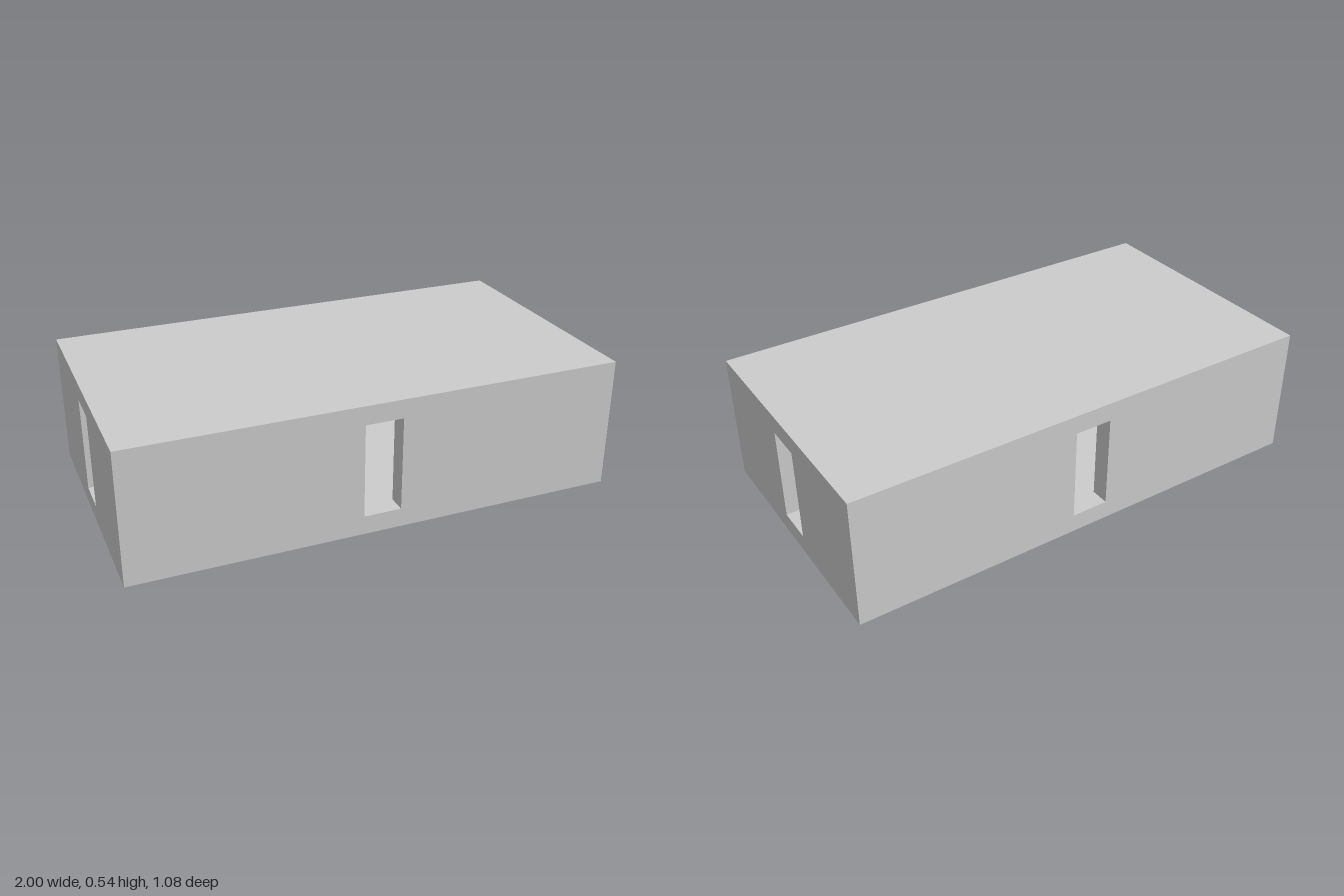
import * as THREE from 'three';
import { mergeGeometries } from 'three/addons/utils/BufferGeometryUtils.js';

// Dimensions in wall thicknesses: 26 long, 14 deep, 7 high, walls 1 thick
const UNIT = 1 / 13;
const HALF_X = 13, HALF_Z = 7, HEIGHT = 7;
const DOOR_HALF = 1, BOTTOM = 1, TOP = 6;
const DOOR_H = TOP - BOTTOM, MID = (TOP + BOTTOM) / 2;

const plane = (w, h, x, y, z, rx = 0, ry = 0) =>
  new THREE.PlaneGeometry(w, h).rotateX(rx).rotateY(ry).translate(x, y, z);

// One wall facing +z at distance d, with a doorway, then turned into place
function wallGeometry(halfW, d, angle) {
  const face = new THREE.Shape([
    new THREE.Vector2(-halfW, 0), new THREE.Vector2(halfW, 0),
    new THREE.Vector2(halfW, HEIGHT), new THREE.Vector2(-halfW, HEIGHT),
  ]);
  face.holes.push(new THREE.Path([
    new THREE.Vector2(-DOOR_HALF, BOTTOM), new THREE.Vector2(-DOOR_HALF, TOP),
    new THREE.Vector2(DOOR_HALF, TOP), new THREE.Vector2(DOOR_HALF, BOTTOM),
  ]));
  const parts = [
    new THREE.ShapeGeometry(face).translate(0, 0, d),
    // sill and lintel
    plane(2 * DOOR_HALF, 1, 0, BOTTOM, d - 0.5, -Math.PI / 2),
    plane(2 * DOOR_HALF, 1, 0, TOP, d - 0.5, Math.PI / 2),
  ];
  for (const s of [-1, 1]) {
    // inner wall face beside the doorway, and its jamb
    parts.push(plane(halfW - 1 - DOOR_HALF, DOOR_H, s * (halfW - 1 + DOOR_HALF) / 2, MID, d - 1, 0, Math.PI));
    parts.push(plane(1, DOOR_H, s * DOOR_HALF, MID, d - 0.5, 0, -s * Math.PI / 2));
  }
  return mergeGeometries(parts).rotateY(angle);
}

export function createModel() {
  const model = new THREE.Group();
  model.name = 'hollowRoom';
  const material = new THREE.MeshStandardMaterial({ color: 0xcccccc });
  const add = (name, geometry) => {
    const mesh = new THREE.Mesh(geometry.scale(UNIT, UNIT, UNIT), material);
    mesh.name = name;
    model.add(mesh);
  };

  // Walls
  add('frontWall', wallGeometry(HALF_X, HALF_Z, 0));
  add('backWall', wallGeometry(HALF_X, HALF_Z, Math.PI));
  add('leftWall', wallGeometry(HALF_Z, HALF_X, Math.PI / 2));
  add('rightWall', wallGeometry(HALF_Z, HALF_X, -Math.PI / 2));

  // Outside top and bottom
  add('roof', plane(2 * HALF_X, 2 * HALF_Z, 0, HEIGHT, 0, -Math.PI / 2));
  add('base', plane(2 * HALF_X, 2 * HALF_Z, 0, 0, 0, Math.PI / 2));

  // Inside floor and ceiling
  add('floor', plane(2 * HALF_X - 2, 2 * HALF_Z - 2, 0, BOTTOM, 0, -Math.PI / 2));
  add('ceiling', plane(2 * HALF_X - 2, 2 * HALF_Z - 2, 0, TOP, 0, Math.PI / 2));

  return model;
}
